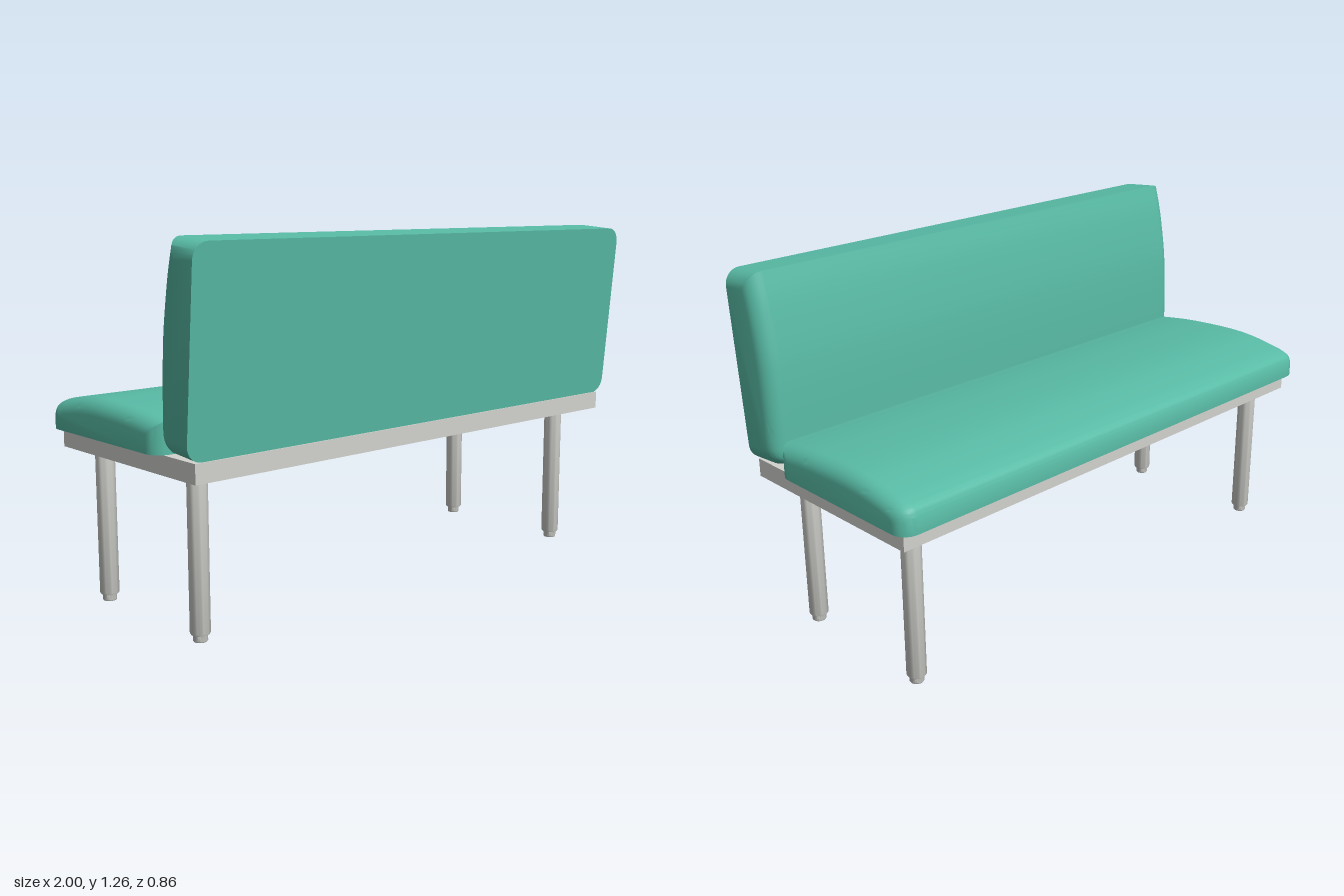
import * as THREE from 'three';
import { toCreasedNormals } from 'three/addons/utils/BufferGeometryUtils.js';

// Upholstered pad: a side profile (depth, thickness) lofted along x with rounded ends.
// The base board lies on y = 0 and the pad runs from z = 0 towards -z.
function cushionGeometry(profile, halfWidth, radius) {
  const curve = new THREE.SplineCurve(profile.map(([u, v]) => new THREE.Vector2(u, v)));
  const depth = profile[profile.length - 1][0];
  const loop = [new THREE.Vector2(0, 0), ...curve.getPoints(40), new THREE.Vector2(depth, 0)];
  const peak = Math.max(...loop.map((p) => p.y));

  // Stations along x, with the amount the section shrinks at each
  const end = [];
  for (let k = 0; k <= 8; k++) {
    const a = (k / 8) * Math.PI / 2;
    end.push([halfWidth - radius + radius * Math.sin(a), radius * (1 - Math.cos(a))]);
  }
  const stations = [...end.map(([x, inset]) => [-x, inset]).reverse(), ...end];

  const positions = [];
  const indices = [];
  const n = loop.length;
  for (const [x, inset] of stations) {
    for (const p of loop) {
      const u = inset + p.x * (1 - 2 * inset / depth);
      positions.push(x, p.y * (1 - inset / peak), -u);
    }
  }
  for (let i = 0; i < stations.length - 1; i++) {
    for (let j = 0; j < n; j++) {
      const a = i * n + j;
      const c = i * n + (j + 1) % n;
      indices.push(a, a + n, c, c, a + n, c + n);
    }
  }
  // End caps
  const last = (stations.length - 1) * n;
  for (let k = 1; k < n - 1; k++) {
    indices.push(0, k, k + 1, last, last + k + 1, last + k);
  }
  const geometry = new THREE.BufferGeometry();
  geometry.setAttribute('position', new THREE.Float32BufferAttribute(positions, 3));
  geometry.setIndex(indices);
  return toCreasedNormals(geometry, 0.7);
}

export function createModel() {
  const group = new THREE.Group();
  const upholstery = new THREE.MeshStandardMaterial({ color: 0x58bba5 });
  upholstery.name = 'green upholstery';
  const metal = new THREE.MeshStandardMaterial({ color: 0xd2d2ce });
  metal.name = 'light grey metal';

  const add = (name, geometry, material, x, y, z) => {
    const mesh = new THREE.Mesh(geometry, material);
    mesh.name = name;
    mesh.position.set(x, y, z);
    group.add(mesh);
    return mesh;
  };

  // Seat cushion, domed with a rolled outer edge
  const seatProfile = [[0, 0.105], [0.1, 0.118], [0.2, 0.126], [0.345, 0.131], [0.45, 0.125],
    [0.55, 0.108], [0.6, 0.095], [0.63, 0.08], [0.642, 0.055]];
  add('seatCushion', cushionGeometry(seatProfile, 1, 0.055), upholstery, 0, 0.603, 0.216);

  // Backrest cushion, the same kind of pad stood up and leaning back
  const backProfile = [[0, 0.135], [0.1, 0.154], [0.25, 0.169], [0.35, 0.171], [0.45, 0.168],
    [0.55, 0.162], [0.61, 0.156], [0.635, 0.141], [0.647, 0.115]];
  const backrest = add('backrestCushion', cushionGeometry(backProfile, 1, 0.055), upholstery, 0, 1.249, 0.43);
  backrest.rotation.x = -THREE.MathUtils.degToRad(85.1);

  // Frame: a shallow tray with thin walls, open underneath
  const halfX = 0.97, zMin = -0.387, zMax = 0.375, wall = 0.006;
  const midZ = (zMin + zMax) / 2, depth = zMax - zMin;
  add('framePanel', new THREE.BoxGeometry(2 * halfX - wall, 0.006, depth - wall), metal, 0, 0.599, midZ);
  for (const s of [-1, 1]) {
    add('frameLongRail', new THREE.BoxGeometry(2 * halfX, 0.064, wall), metal,
      0, 0.571, midZ + s * (depth - wall) / 2);
    add('frameEndRail', new THREE.BoxGeometry(wall, 0.064, depth - 2 * wall), metal,
      s * (halfX - wall / 2), 0.571, midZ);
  }

  // Round legs with a small bevel and a narrower foot
  const legProfile = [[0, 0], [0.022, 0], [0.024, 0.003], [0.024, 0.023], [0.03, 0.024],
    [0.033, 0.029], [0.033, 0.598]].map(([r, y]) => new THREE.Vector2(r, y));
  const legGeometry = toCreasedNormals(new THREE.LatheGeometry(legProfile, 28), 0.6);
  for (const x of [-0.87, 0.87]) {
    for (const z of [-0.294, 0.24]) add('leg', legGeometry, metal, x, 0, z);
  }
  return group;
}
